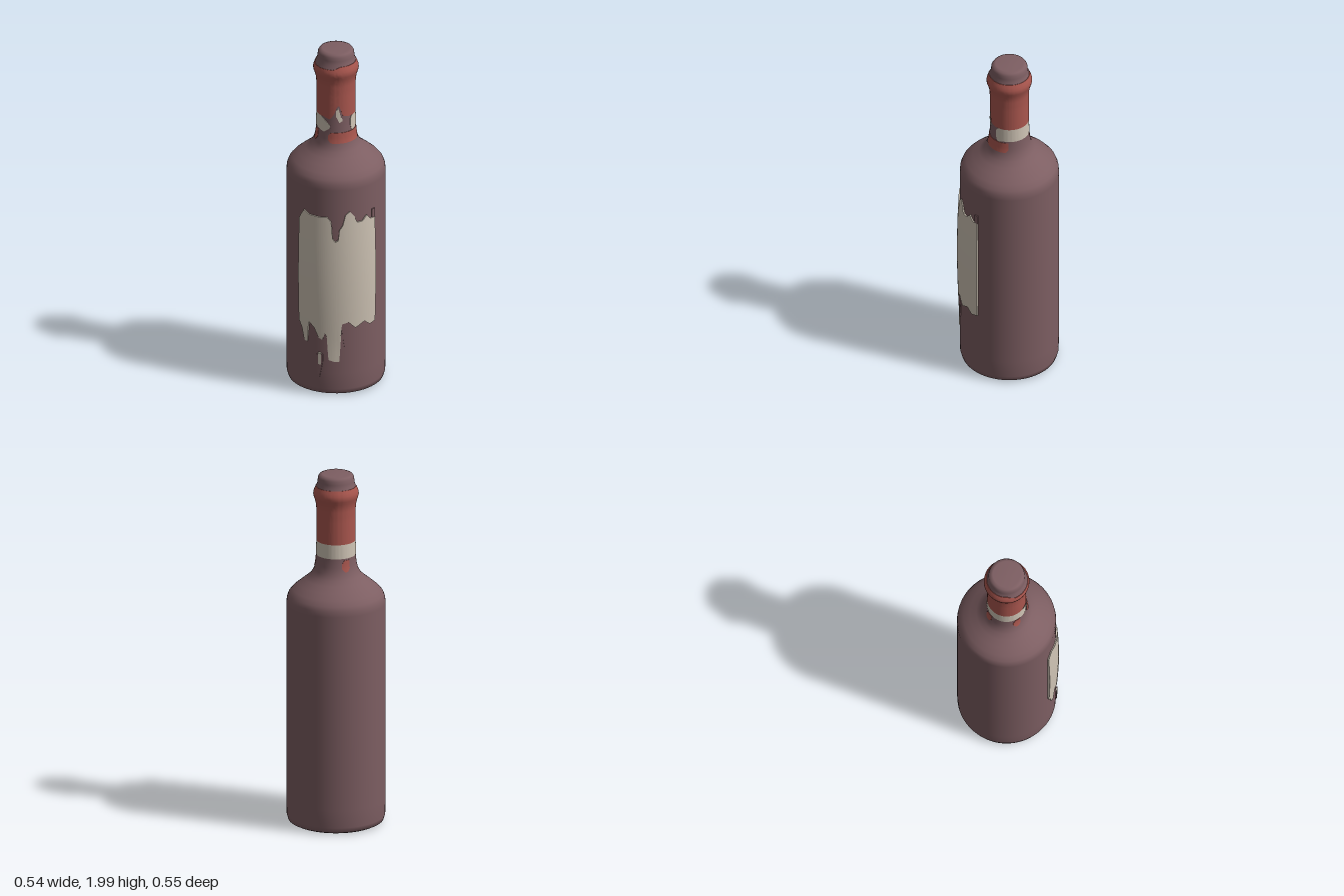
import * as THREE from 'three';
import { toCreasedNormals } from 'three/addons/utils/BufferGeometryUtils.js';

const DEG = Math.PI / 180;

// bottle outline as [radius, height]
const PROFILE = [
  [0, 0.012], [0.2, 0.01], [0.24, 0.012], [0.26, 0.022], [0.268, 0.05], [0.27, 0.15], [0.27, 1.26],
  [0.267, 1.29], [0.258, 1.315], [0.235, 1.342], [0.2, 1.372], [0.165, 1.4], [0.138, 1.425],
  [0.121, 1.455], [0.112, 1.49], [0.107, 1.54], [0.105, 1.62], [0.104, 1.76], [0.106, 1.82],
  [0.112, 1.85], [0.122, 1.878], [0.122, 1.895], [0.113, 1.92], [0.103, 1.94], [0.1, 1.96],
  [0.098, 1.98], [0.09, 1.993], [0.075, 1.999], [0, 2],
];

// linear lookup in a list of [key, value] pairs
function lookup(pairs, k) {
  if (k <= pairs[0][0]) return pairs[0][1];
  for (let i = 1; i < pairs.length; i++) {
    const [k0, v0] = pairs[i - 1], [k1, v1] = pairs[i];
    if (k <= k1) return v0 + (v1 - v0) * (k - k0) / (k1 - k0 || 1);
  }
  return pairs[pairs.length - 1][1];
}
const OUTLINE = PROFILE.slice(1, -1).map(([r, y]) => [y, r]);
const bottleRadius = (y) => lookup(OUTLINE, y);

// raised skin wrapped on the bottle: angle range, lower and upper edges, height above the glass
function skin(a0, a1, low, high, raise, cols = 48, rows = 14) {
  const pos = [], index = [];
  const clamp = (i, n) => Math.min(Math.max(i - 1, 0), n) / n;
  for (let i = 0; i <= cols + 2; i++) {
    const a = a0 + (a1 - a0) * clamp(i, cols);
    const lo = low(a), hi = high(a);
    for (let j = 0; j <= rows + 2; j++) {
      const y = lo + (hi - lo) * clamp(j, rows);
      const rim = i === 0 || j === 0 || i === cols + 2 || j === rows + 2;
      const r = bottleRadius(y) + (rim ? -0.002 : raise(a, y));
      pos.push(r * Math.sin(a), y, r * Math.cos(a));
    }
  }
  const n = rows + 3;
  for (let i = 0; i < cols + 2; i++) {
    for (let j = 0; j < n - 1; j++) {
      const p = i * n + j;
      index.push(p, p + n, p + 1, p + n, p + n + 1, p + 1);
    }
  }
  const g = new THREE.BufferGeometry();
  g.setAttribute('position', new THREE.Float32BufferAttribute(pos, 3));
  g.setIndex(index);
  return toCreasedNormals(g, 40 * DEG);
}

export function createModel() {
  const glass = new THREE.MeshStandardMaterial({ name: 'brown glass', color: 0x7d5e62 });
  const foil = new THREE.MeshStandardMaterial({ name: 'red foil', color: 0xa9564e });
  const paper = new THREE.MeshStandardMaterial({ name: 'cream paper', color: 0xcfc4b5 });

  const model = new THREE.Group();
  model.name = 'bottle';
  const bottle = new THREE.Group();
  bottle.position.z = -0.006;
  model.add(bottle);
  const add = (name, geometry, material) => {
    const mesh = new THREE.Mesh(geometry, material);
    mesh.name = name;
    bottle.add(mesh);
  };
  const thin = () => 0.002;
  const inDegrees = (pairs) => (a) => lookup(pairs, a / DEG);

  // glass body, neck and stopper
  add('glassBody', new THREE.LatheGeometry(PROFILE.map(([r, y]) => new THREE.Vector2(r, y)), 72), glass);

  // foil sleeve with a torn lower edge
  const foilLow = [[-180, 1.62], [-40, 1.62], [-20, 1.61], [-8, 1.64], [2, 1.69], [9, 1.69], [18, 1.63], [45, 1.62]];
  const foilHigh = [[-180, 1.93], [-100, 1.93], [-80, 1.915], [-10, 1.915], [10, 1.93]];
  add('foilSleeve', skin(-Math.PI, Math.PI, inDegrees(foilLow), inDegrees(foilHigh), thin, 90, 20), foil);

  // paper band round the neck, torn open at the front
  const bandLow = [[45, 1.56], [50, 1.53], [70, 1.54], [290, 1.54], [322, 1.53], [340, 1.555]];
  const bandHigh = [[45, 1.6], [50, 1.62], [310, 1.62], [325, 1.6], [340, 1.575]];
  add('neckBand', skin(45 * DEG, 340 * DEG, inDegrees(bandLow), inDegrees(bandHigh), thin, 80, 3), paper);
  add('bandScrap', skin(-2 * DEG, 18 * DEG, inDegrees([[-2, 1.63], [8, 1.59], [18, 1.6]]),
    inDegrees([[-2, 1.66], [5, 1.68], [12, 1.63], [18, 1.61]]), thin, 12, 3), paper);

  // foil scraps below the band: [from, to, low, high]
  for (const [a, b, lo, hi] of [[-25, 85, 1.47, 1.53], [185, 209, 1.465, 1.53], [275, 298, 1.465, 1.53]]) {
    add('foilScrap', skin(a * DEG, b * DEG, inDegrees([[a, lo + 0.02], [a + 8, lo], [b - 8, lo], [b, lo + 0.02]]),
      inDegrees([[a, hi - 0.02], [a + 8, hi], [b, hi]]), thin, 24, 4), foil);
  }

  // torn front label, edges given as [x, y]
  const R = 0.283;
  const labelTop = [[-0.21, 1.06], [-0.2, 1.09], [-0.185, 1.12], [-0.16, 1.1], [-0.1, 1.095], [-0.06, 1.1], [-0.035, 1.07],
    [-0.028, 0.97], [-0.012, 0.95], [0.004, 0.96], [0.01, 1.02], [0.03, 1.05], [0.045, 1.11], [0.07, 1.13],
    [0.095, 1.1], [0.11, 1.06], [0.14, 1.06], [0.165, 1.09], [0.185, 1.06], [0.21, 1.06]];
  const labelLow = [[-0.21, 0.44], [-0.195, 0.4], [-0.185, 0.33], [-0.168, 0.32], [-0.158, 0.45], [-0.13, 0.42], [-0.105, 0.36],
    [-0.085, 0.35], [-0.07, 0.39], [-0.06, 0.37], [-0.052, 0.23], [-0.02, 0.22], [0.01, 0.22], [0.018, 0.34],
    [0.024, 0.45], [0.06, 0.46], [0.1, 0.42], [0.15, 0.45], [0.18, 0.42], [0.21, 0.43]];
  const edge = (pairs) => (a) => lookup(pairs, R * Math.sin(a));
  const bulge = (a, y) => 0.004 + 0.011 * Math.sin(Math.PI * THREE.MathUtils.clamp((y - 0.3) / 0.85, 0, 1));
  const span = Math.asin(0.21 / R);
  add('frontLabel', skin(-span, span, edge(labelLow), edge(labelTop), bulge, 140, 16), paper);

  // pointed drips: [x, half width, tip, top, material]
  const drips = [[-0.1, 0.017, 0.12, 0.26, glass], [0.04, 0.018, 0.3, 0.46, glass], [0.203, 0.008, 0.95, 1.11, glass]];
  for (const [x, w, tip, top, material] of drips) {
    const low = edge([[x - w, top - 0.04], [x, tip], [x + w, top - 0.04]]);
    add('drip', skin(Math.asin((x - w) / R), Math.asin((x + w) / R), low, () => top, () => 0.006, 10, 4), material);
  }
  add('labelScrap', skin(Math.asin(-0.108 / R), Math.asin(-0.092 / R), () => 0.2, () => 0.27, () => 0.008, 4, 2), paper);
  return model;
}
